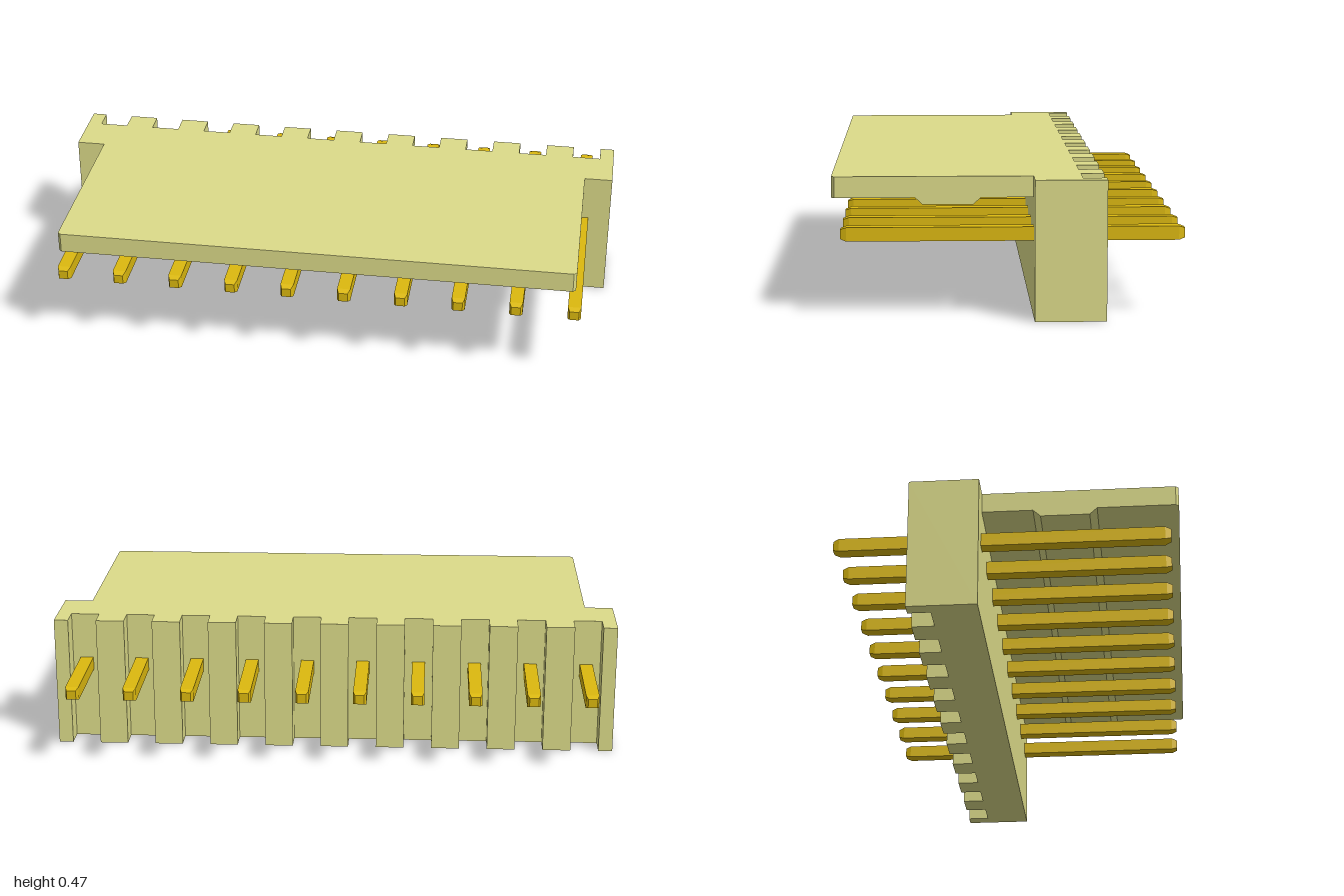
import * as THREE from 'three';

const PINS = 10, PITCH = 0.2;
const housing = new THREE.MeshStandardMaterial({ color: 0xdcdb89, flatShading: true });
const gold = new THREE.MeshStandardMaterial({ color: 0xdcb90f, flatShading: true });
const pinX = (i) => (i - (PINS - 1) / 2) * PITCH;

// Extrudes a plan outline of [x, z] points from y0 up to y1
function slab(points, y0, y1) {
  const shape = new THREE.Shape(points.map(([x, z]) => new THREE.Vector2(x, -z)));
  return new THREE.ExtrudeGeometry(shape, { depth: y1 - y0, bevelEnabled: false })
    .rotateX(-Math.PI / 2).translate(0, y0, 0);
}

function part(name, geometry, material) {
  const mesh = new THREE.Mesh(geometry, material);
  mesh.name = name;
  return mesh;
}

export function createModel() {
  const model = new THREE.Group();
  model.name = 'pinHeader';

  // Upright wall with one full-height slot behind each pin
  const front = -0.082, back = -0.317, slotFloor = -0.24, halfSlot = 0.05;
  const outline = [[-1, front], [1, front], [1, back]];
  for (let i = PINS - 1; i >= 0; i--) {
    const x = pinX(i);
    outline.push([x + halfSlot, back], [x + halfSlot, slotFloor],
      [x - halfSlot, slotFloor], [x - halfSlot, back]);
  }
  outline.push([-1, back]);
  model.add(part('slottedWall', slab(outline, 0, 0.465), housing));

  // Locking plate over the pins, front corners slightly cut
  const w = 0.9, tip = 0.578, cut = 0.01;
  const plate = [[-w, front], [-w, tip - cut], [-w + cut, tip],
    [w - cut, tip], [w, tip - cut], [w, front]];
  model.add(part('lockingPlate', slab(plate, 0.395, 0.465), housing));

  // Latch ridge under the plate, a trapezoid in [z, y]
  const ridge = new THREE.Shape([[0.305, 0.395], [0.09, 0.395], [0.115, 0.372], [0.28, 0.372]]
    .map(([z, y]) => new THREE.Vector2(z, y)));
  const ridgeGeo = new THREE.ExtrudeGeometry(ridge, { depth: 2 * w, bevelEnabled: false })
    .rotateY(-Math.PI / 2).translate(w, 0, 0);
  model.add(part('latchRidge', ridgeGeo, housing));

  // Square pins with tapered tips
  const r = 0.023 * Math.SQRT2, rTip = 0.016 * Math.SQRT2;
  const profile = [[0, -0.578], [rTip, -0.578], [r, -0.558], [r, 0.529], [rTip, 0.549], [0, 0.549]]
    .map(([x, y]) => new THREE.Vector2(x, y));
  const pinGeo = new THREE.LatheGeometry(profile, 4, Math.PI / 4).rotateX(Math.PI / 2);
  const pins = new THREE.Group();
  pins.name = 'pins';
  for (let i = 0; i < PINS; i++) {
    const pin = part('pin', pinGeo, gold);
    pin.position.set(pinX(i), 0.278, 0);
    pins.add(pin);
  }
  model.add(pins);
  return model;
}
